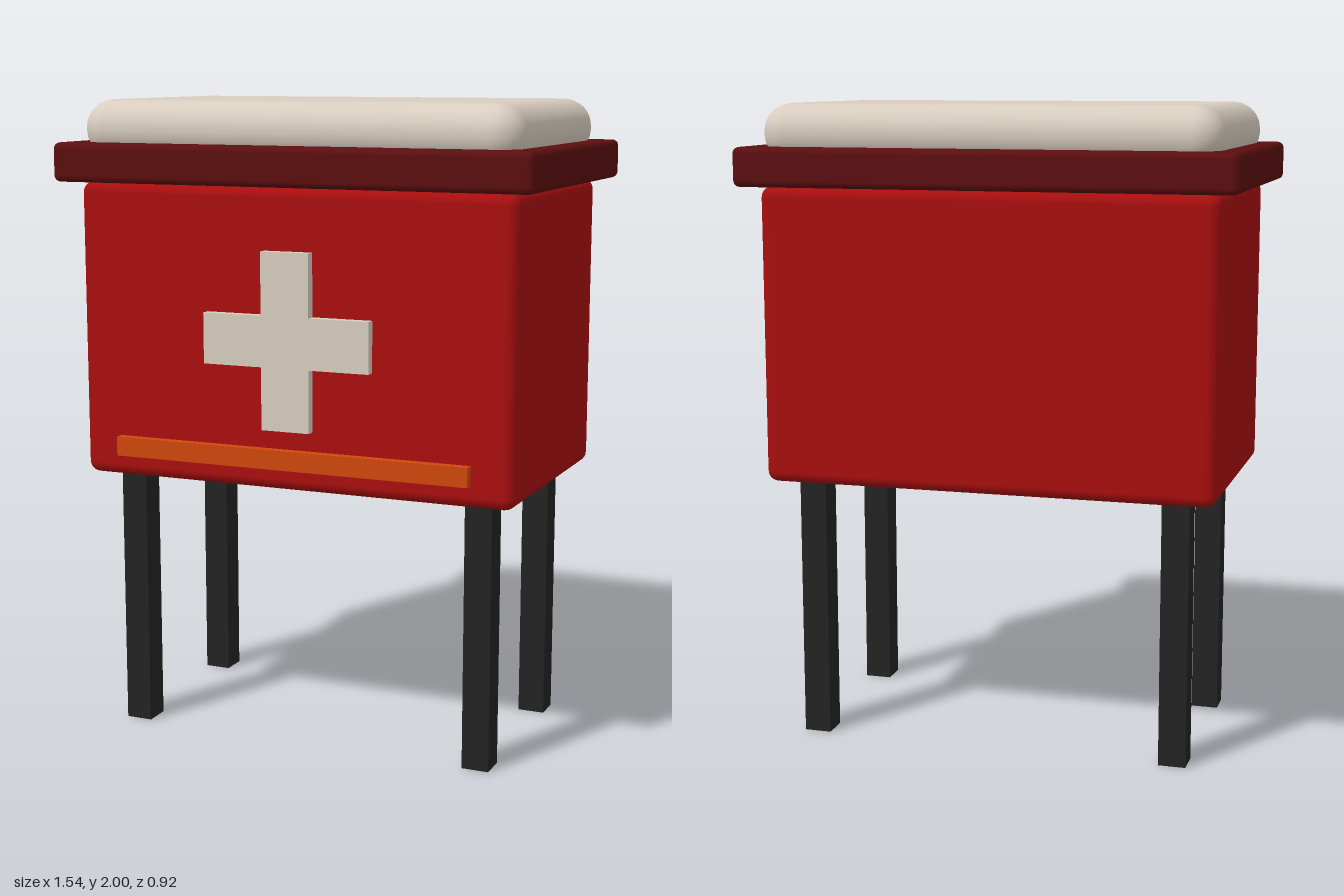
import * as THREE from 'three';
import { RoundedBoxGeometry } from 'three/addons/geometries/RoundedBoxGeometry.js';

export function createModel() {
  const mat = (name, color) => {
    const m = new THREE.MeshStandardMaterial({ color });
    m.name = name;
    return m;
  };
  const red = mat('red', 0xa90e0e);
  const darkRed = mat('dark red', 0x5c0e0f);
  const cream = mat('cream', 0xd8cdbf);
  const black = mat('black', 0x232323);
  const orange = mat('orange', 0xd0480c);

  const model = new THREE.Group();
  model.name = 'medicalCabinet';

  const add = (name, geometry, material, x, y, z) => {
    const mesh = new THREE.Mesh(geometry, material);
    mesh.name = name;
    mesh.position.set(x, y, z);
    model.add(mesh);
  };

  // Cabinet body, overhanging rim and padded top
  add('body', new RoundedBoxGeometry(1.42, 0.92, 0.8, 3, 0.035), red, 0, 1.29, 0);
  add('rim', new RoundedBoxGeometry(1.54, 0.12, 0.92, 3, 0.02), darkRed, 0, 1.81, 0);
  add('cushion', new RoundedBoxGeometry(1.42, 0.18, 0.82, 3, 0.088), cream, 0, 1.91, 0);

  // Raised cross, one continuous outline
  const a = 0.078, b = 0.27;
  const outline = [[-a, -b], [a, -b], [a, -a], [b, -a], [b, a], [a, a],
    [a, b], [-a, b], [-a, a], [-b, a], [-b, -a], [-a, -a]];
  const cross = new THREE.Shape(outline.map(([x, y]) => new THREE.Vector2(x, y)));
  add('cross', new THREE.ExtrudeGeometry(cross, { depth: 0.04, bevelEnabled: false }),
    cream, 0, 1.29, 0.39);

  // Trim strip along the lower front
  add('trimStrip', new THREE.BoxGeometry(1.16, 0.06, 0.04), orange, 0, 0.93, 0.41);

  // Four square legs
  for (const sx of [-1, 1]) {
    for (const sz of [-1, 1]) {
      const name = (sz > 0 ? 'front' : 'back') + (sx > 0 ? 'Left' : 'Right') + 'Leg';
      add(name, new THREE.BoxGeometry(0.085, 0.85, 0.085), black, sx * 0.58, 0.425, sz * 0.283);
    }
  }
  return model;
}
